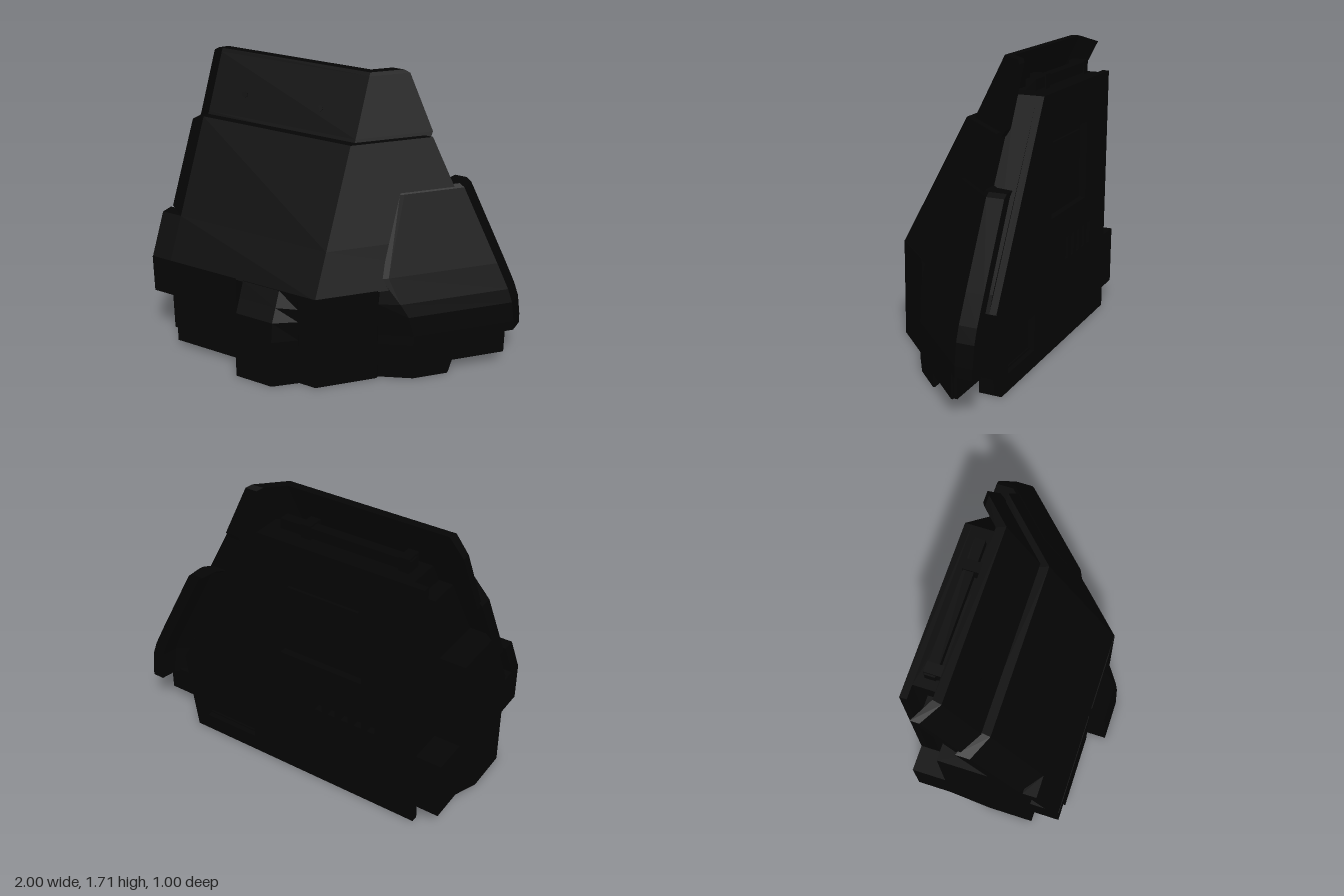
import * as THREE from 'three';

const darkArmor = new THREE.MeshStandardMaterial({ color: 0x050505 });
darkArmor.name = 'dark armor';

// Solid through horizontal cross-sections [y, [[x, z, drop], ...]], listed upward
function loft(sections) {
  const rings = sections.map(([y, pts]) => {
    const p = pts.map(([x, z, drop = 0]) => new THREE.Vector3(x, z, y - drop));
    if (THREE.ShapeUtils.area(p) < 0) p.reverse();
    return p;
  });
  const pos = [];
  const put = (r, i) => pos.push(r[i].x, r[i].z, r[i].y);
  for (let s = 0; s + 1 < rings.length; s++) {
    const lo = rings[s], hi = rings[s + 1], n = lo.length;
    for (let i = 0; i < n; i++) {
      const j = (i + 1) % n;
      put(lo, i); put(hi, j); put(lo, j);
      put(lo, i); put(hi, i); put(hi, j);
    }
  }
  const cap = (r, up) => {
    for (const t of THREE.ShapeUtils.triangulateShape(r, [])) {
      const ccw = THREE.ShapeUtils.area(t.map((i) => r[i])) > 0;
      const order = ccw === up ? [t[0], t[2], t[1]] : t;
      order.forEach((i) => put(r, i));
    }
  };
  cap(rings[0], false);
  cap(rings[rings.length - 1], true);
  const g = new THREE.BufferGeometry();
  g.setAttribute('position', new THREE.Float32BufferAttribute(pos, 3));
  g.computeVertexNormals();
  return g;
}

export function createModel() {
  const model = new THREE.Group();
  const add = (name, geo) => {
    const m = new THREE.Mesh(geo, darkArmor);
    m.name = name;
    model.add(m);
    return m;
  };
  const box = (name, x0, x1, y0, y1, z0, z1) => {
    const m = add(name, new THREE.BoxGeometry(x1 - x0, y1 - y0, z1 - z0));
    m.position.set((x0 + x1) / 2, (y0 + y1) / 2, (z0 + z1) / 2);
    return m;
  };

  // Sloped shell section: front face, 45 degree right face, optional left chamfer
  // whose outer corner may sit lower than the rest
  const shell = (y, zf, xl, chamfer, zEnd, t, drop = 0) => {
    const zl = zf - chamfer + drop * 0.5;
    return [y, [
      [xl, zl, drop], [-0.87, zf], [0.11, zf], [0.11 + zf - zEnd, zEnd],
      [0.11 + zf - zEnd - 1.41 * t, zEnd], [0.11 - 0.41 * t, zf - t],
      [-0.86, zf - t], [xl, zl - t, drop],
    ]];
  };
  const lowerZ = (y) => 0.45 - (y - 0.47) * 0.528;
  const upperZ = (y) => -0.07 - (y - 1.36) * 0.5;
  add('upperFrontArmor', loft([
    shell(1.34, upperZ(1.34), -0.98, 0.1, -0.38, 0.05, 0.06),
    shell(1.38, upperZ(1.38), -0.98, 0.1, -0.405, 0.05, 0.06),
    shell(1.7, upperZ(1.7), -0.98, 0.1, -0.41, 0.05, 0.05),
    shell(1.72, upperZ(1.72), -0.98, 0.1, -0.39, 0.05, 0.045),
  ]));
  add('middleFrontArmor', loft([
    shell(0.83, lowerZ(0.83), -1, 0.1, -0.365, 0.08),
    shell(1.363, lowerZ(1.363), -1, 0.1, -0.365, 0.08, 0.06),
  ]));
  add('lowerFrontArmor', loft([0.584, 0.83].map((y) => shell(y, lowerZ(y), -1, 0, -0.365, 0.08))));

  // Skirt below the slope, split by a slit beside the centre panel
  box('leftCornerSkirt', -1, -0.85, 0.36, 0.59, 0.2, 0.39);
  box('leftSkirt', -0.85, -0.41, 0.05, 0.59, 0.25, 0.39);
  box('leftSill', -0.86, -0.38, 0.01, 0.12, 0.17, 0.28);
  const skirt = [[-0.36, 0.39], [0.11, 0.39], [0.37, 0.13], [0.37, 0.02], [0.08, 0.3], [-0.36, 0.3]];
  add('centreSkirt', loft([[0.01, skirt], [0.59, skirt]]));
  add('centreBulgePanel', loft(
    [[0.01, 0.5], [0.3, 0.49], [0.42, 0.475], [0.5, 0.435], [0.59, 0.392]].map(([y, z]) => [y, [
      [-0.36, 0.34], [-0.36, z], [-0.12, z], [0.0, Math.min(z, 0.392)], [0.0, 0.34],
    ]])));

  // Angled side armour, with a stepped lower edge
  const side = (y, k, b, zEnd, zBack) => {
    const x1 = 0.39 + 1.55 * b;
    return [y, [
      [0.37, k - 0.37 - b], [x1, k - x1], [k - zEnd, zEnd], [k - zEnd, zBack],
      [k - zEnd - 0.07, zBack], [k - zEnd - 0.09, zEnd - 0.005], [0.37, k - 0.47 - b * 0.7],
    ]];
  };
  add('sideArmor', loft([
    side(0.24, 0.6, 0.11, -0.4, -0.5), side(0.3, 0.598, 0.11, -0.4, -0.5),
    side(0.42, 0.58, 0.09, -0.4, -0.5), side(0.5, 0.55, 0.06, -0.4, -0.5),
    side(0.65, 0.473, 0.01, -0.4, -0.5), side(1.08, 0.245, 0.0, -0.4, -0.5),
    side(1.1, 0.215, 0.0, -0.4, -0.5),
  ]));
  add('sideArmorMiddleStep', loft([side(0.1, 0.6, 0.11, -0.36, -0.37), side(0.24, 0.6, 0.11, -0.36, -0.37)]));
  add('sideArmorFrontStep', loft([side(0.01, 0.59, 0.11, -0.12, -0.13), side(0.1, 0.6, 0.11, -0.13, -0.14)]));
  box('sideArmorRearWeb', 0.68, 0.95, 0.1, 0.26, -0.39, -0.355);

  // Inner body
  const bodyZ = (y) => Math.min(0.28, 0.28 - (y - 0.58) * 0.596);
  add('innerBody', loft([[0.1, 0.66, -0.35], [0.49, 0.73, -0.38], [0.58, 0.69, -0.33], [1.52, 0.15, -0.33]]
    .map(([y, xr, zs]) => [y, [[-0.77, -0.46], [xr, -0.46], [xr, zs], [0.05, bodyZ(y)], [-0.77, bodyZ(y)]]])));
  add('bodySideColumn', loft([0.01, 0.58, 1.4].map((y) => [y, [
    [-0.85, -0.39], [-0.77, -0.39], [-0.77, bodyZ(y)], [-0.85, bodyZ(y)],
  ]])));
  box('rearSill', -0.77, 0.66, 0.01, 0.12, -0.47, -0.37);

  // Left flank blocks
  const flank = (y, zBack, zFront) => [y, [[-1, zBack], [-0.84, zBack], [-0.84, zFront], [-1, zFront]]];
  add('leftFlankBlock', loft([
    flank(0.01, -0.05, 0.22), flank(0.13, -0.3, 0.22), flank(0.62, -0.3, 0.22), flank(1.0, -0.3, 0.03),
  ]));
  box('leftRearBlock', -1, -0.85, 0.13, 0.48, -0.5, -0.29);

  // Rear wall with a recessed window panel, hatch and vent slits
  const wall = new THREE.Shape(
    [[-0.85, 0.01], [0.66, 0.01], [0.73, 0.49], [0.15, 1.52], [-0.85, 1.52]].map((p) => new THREE.Vector2(...p)));
  const cut = (x0, x1, y0, y1) => wall.holes.push(new THREE.Path(
    [[x0, y0], [x0, y1], [x1, y1], [x1, y0]].map((p) => new THREE.Vector2(...p))));
  cut(-0.5, 0.02, 0.81, 1.27);
  cut(0.23, 0.58, 0.11, 0.32);
  for (let i = 0; i < 5; i++) cut(-0.59 + i * 0.085, -0.545 + i * 0.085, 0.51, 0.64);
  add('rearWall', new THREE.ExtrudeGeometry(wall, { depth: 0.04, bevelEnabled: false })).position.z = -0.5;
  box('rearWindowPanel', -0.46, -0.02, 0.85, 1.23, -0.475, -0.455);

  // Grab bar on top of the body
  box('topBar', -0.72, 0.06, 1.53, 1.59, -0.41, -0.35);
  for (const x of [-0.68, -0.1]) box('topBarBracket', x - 0.03, x + 0.03, 1.5, 1.6, -0.415, -0.32);

  // Underside louvres
  for (let i = 0; i < 6; i++) {
    const z = -0.25 + i * 0.08;
    box('undersideLouvre', -0.3, 0.2, 0.055, 0.07, z, z + 0.065).rotation.x = 0.5;
  }

  // Small bolts on the upper armour
  for (const x of [-0.65, -0.15]) {
    const bolt = add('bolt', new THREE.CylinderGeometry(0.02, 0.02, 0.006, 6));
    bolt.position.set(x, 1.5, upperZ(1.5));
    bolt.rotation.x = Math.atan2(1, 0.5);
  }
  return model;
}
